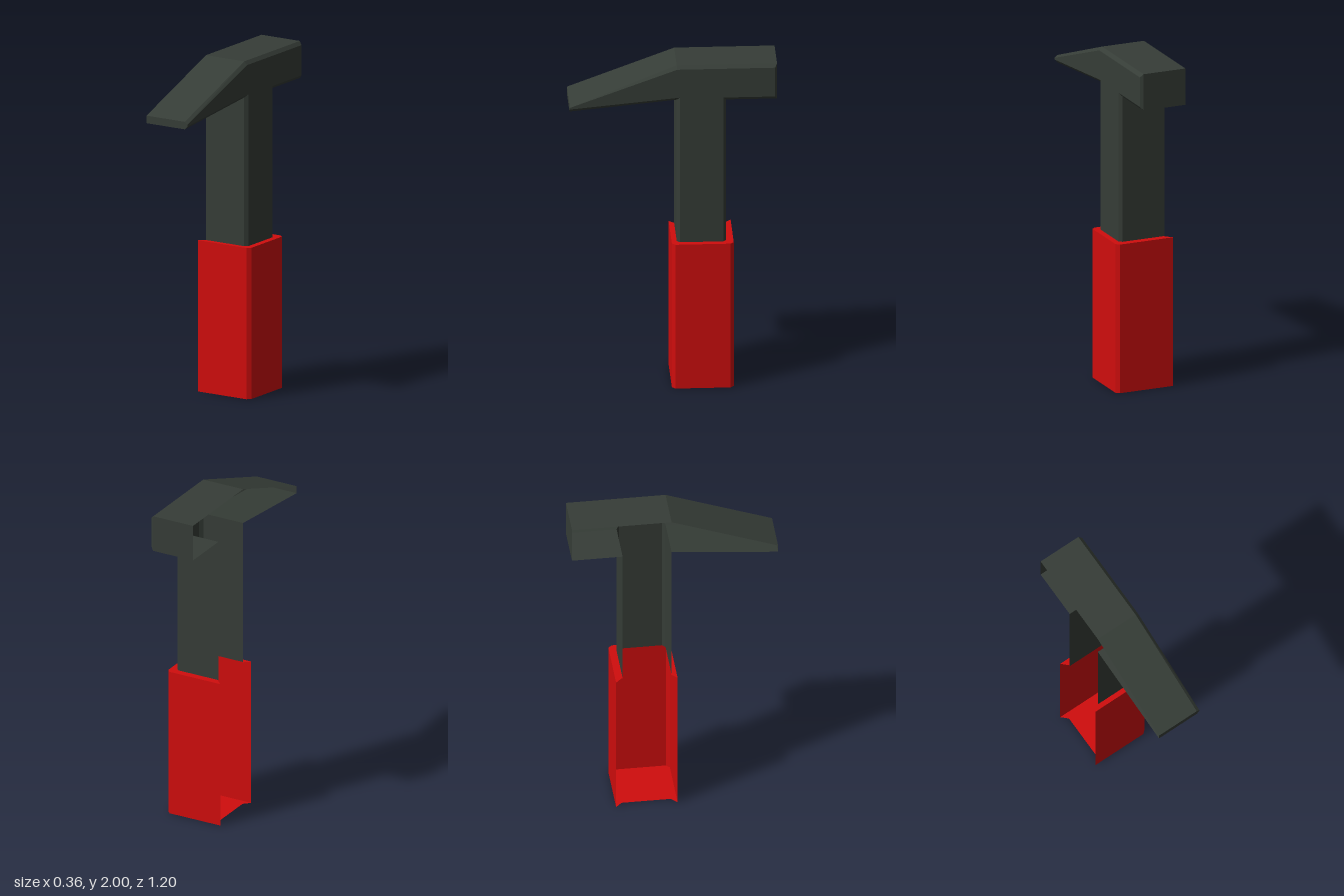
import * as THREE from 'three';

// Open flat-shaded skin between successive rings of [x, y, z] points
function loft(rings) {
  const pos = [];
  for (let r = 0; r < rings.length - 1; r++) {
    for (let i = 0; i < rings[r].length - 1; i++) {
      const a = rings[r][i], b = rings[r][i + 1], c = rings[r + 1][i + 1], d = rings[r + 1][i];
      pos.push(...a, ...b, ...c, ...a, ...c, ...d);
    }
  }
  const geo = new THREE.BufferGeometry();
  geo.setAttribute('position', new THREE.Float32BufferAttribute(pos, 3));
  geo.computeVertexNormals();
  return geo;
}

// Flat face from 2D points
function face(points) {
  return new THREE.ShapeGeometry(new THREE.Shape(points.map(([u, v]) => new THREE.Vector2(u, v))));
}

export function createModel() {
  const steel = new THREE.MeshStandardMaterial({ color: 0x363d37, side: THREE.DoubleSide });
  steel.name = 'darkSteel';
  const red = new THREE.MeshStandardMaterial({ color: 0xd00d0d, side: THREE.DoubleSide });
  red.name = 'redGrip';

  const model = new THREE.Group();
  model.name = 'hammer';
  const add = (parent, name, geo, mat) => {
    const mesh = new THREE.Mesh(geo, mat);
    mesh.name = name;
    parent.add(mesh);
  };

  // Head and shaft: one T-shaped shell, bevelled at +x and open at -x; profiles are [z, y]
  const outer = [
    [-0.305, 0.9], [-0.305, 1.78], [-0.6, 1.78], [-0.6, 2], [-0.02, 2],
    [0.6, 1.77], [0.6, 1.725], [-0.02, 1.785], [-0.02, 0.9],
  ];
  const inset = [
    [-0.288, 0.9], [-0.288, 1.8], [-0.588, 1.8], [-0.588, 1.98], [-0.022, 1.98],
    [0.6, 1.755], [0.6, 1.745], [-0.038, 1.805], [-0.038, 0.9],
  ];
  const at = (x, profile) => profile.map(([z, y]) => [x, y, z]);
  const head = new THREE.Group();
  head.name = 'headAndShaft';
  add(head, 'headWalls', loft([at(-0.143, outer), at(0.122, outer), at(0.141, inset)]), steel);
  add(head, 'headSide',
    face(inset.map(([z, y]) => [-z, y])).rotateY(Math.PI / 2).translate(0.141, 0, 0), steel);
  model.add(head);

  // Grip: hollow sleeve open at -x; outlines are [x, z]
  const outline = [
    [-0.18, 0.01], [0.157, 0.01], [0.178, -0.01], [0.178, -0.328], [0.157, -0.348], [-0.18, -0.348],
  ];
  const shaftHole = [
    [-0.143, -0.312], [-0.143, -0.305], [0.122, -0.305], [0.141, -0.288],
    [0.141, -0.038], [0.122, -0.02], [-0.143, -0.02], [-0.143, -0.026],
  ];
  const level = (y) => outline.map(([x, z]) => [x, y, z]);
  const grip = new THREE.Group();
  grip.name = 'grip';
  add(grip, 'gripWalls', loft([level(0), level(0.9)]), red);
  // Mitred rim around the shaft
  add(grip, 'gripRim',
    face([...outline, ...shaftHole].map(([x, z]) => [x, -z])).rotateX(-Math.PI / 2).translate(0, 0.9, 0), red);
  // Floor with mitred corners at the open side
  add(grip, 'gripFloor',
    face([...outline, [-0.143, -0.312], [-0.143, -0.026]]).rotateX(Math.PI / 2), red);
  model.add(grip);

  return model;
}
